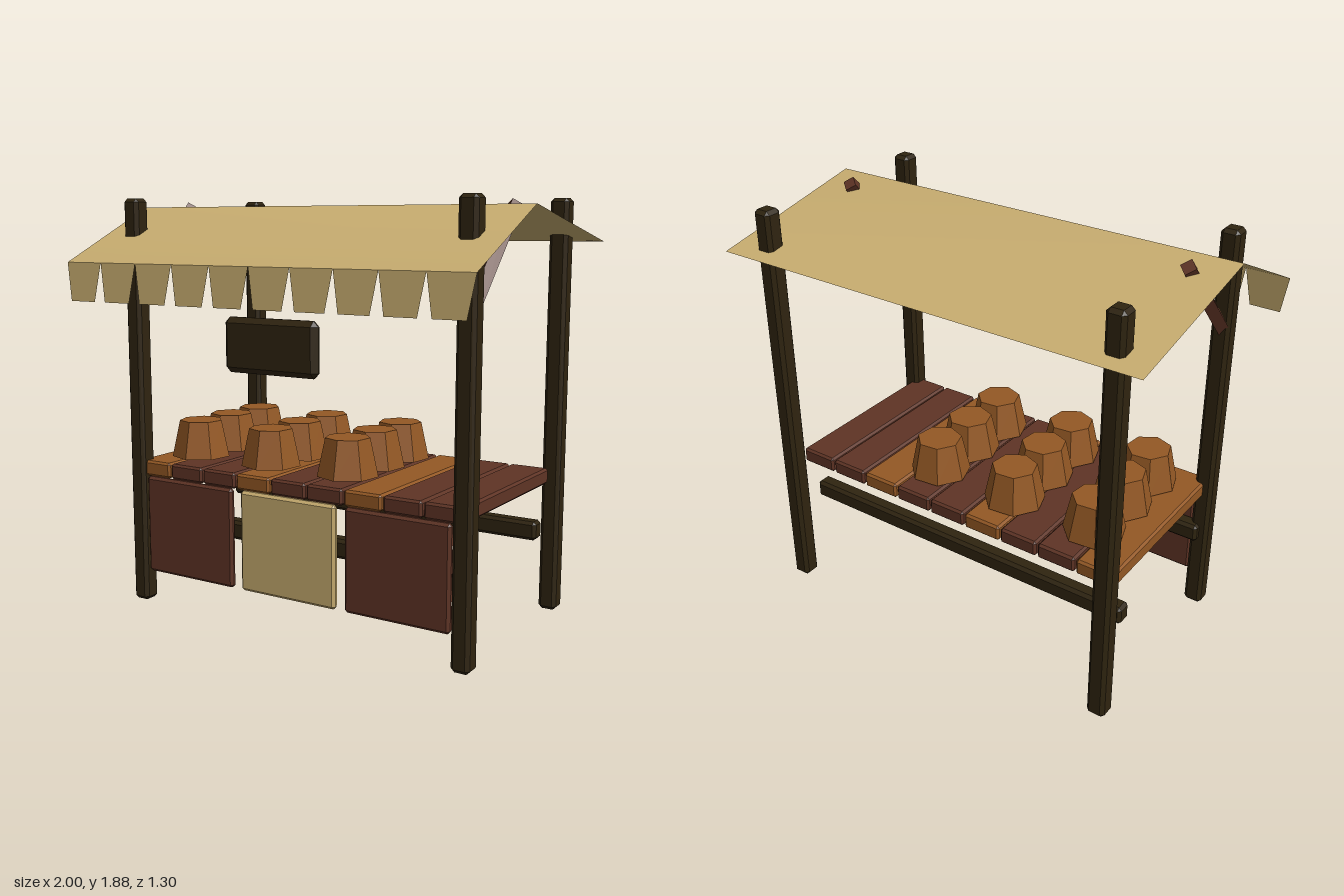
import * as THREE from 'three';
import { ConvexGeometry } from 'three/addons/geometries/ConvexGeometry.js';

const material = (name, color) => {
  const m = new THREE.MeshStandardMaterial({ color });
  m.name = name;
  return m;
};

// Box with flat chamfers on all edges
function chamferBox(w, h, d, c) {
  const pts = [];
  const [x, y, z] = [w / 2, h / 2, d / 2];
  for (const sx of [-1, 1]) for (const sy of [-1, 1]) for (const sz of [-1, 1]) {
    pts.push(
      new THREE.Vector3(sx * x, sy * (y - c), sz * (z - c)),
      new THREE.Vector3(sx * (x - c), sy * y, sz * (z - c)),
      new THREE.Vector3(sx * (x - c), sy * (y - c), sz * z));
  }
  return new ConvexGeometry(pts);
}

function meshGeometry(positions, indices) {
  const g = new THREE.BufferGeometry();
  g.setAttribute('position', new THREE.Float32BufferAttribute(positions, 3));
  g.setIndex(indices);
  g.computeVertexNormals();
  return g;
}

export function createModel() {
  const darkWood = material('dark wood', 0x2f2410);
  const redWood = material('red brown wood', 0x5f3425);
  const orangeWood = material('orange wood', 0x935824);
  const canvas = material('tan canvas', 0xc8ad70);
  canvas.side = THREE.DoubleSide;

  const stall = new THREE.Group();
  stall.name = 'marketStall';
  const add = (name, geometry, mat, x = 0, y = 0, z = 0) => {
    const m = new THREE.Mesh(geometry, mat);
    m.name = name;
    m.position.set(x, y, z);
    stall.add(m);
    return m;
  };

  // Corner posts and the slanted braces on the front pair
  const postGeo = chamferBox(0.085, 1.88, 0.085, 0.016);
  const braceRise = 0.42, braceRun = 0.395;
  const braceGeo = new THREE.BoxGeometry(0.05, 0.05, Math.hypot(braceRise, braceRun));
  braceGeo.rotateZ(Math.PI / 4);
  for (const s of [-1, 1]) {
    add('frontPost', postGeo, darkWood, s * 0.842, 0.94, 0.365);
    add('backPost', postGeo, darkWood, s * 0.842, 0.94, -0.54);
    const brace = add('canopyBrace', braceGeo, redWood, s * 0.842, 1.635, 0.1675);
    brace.rotation.x = Math.atan2(braceRise, braceRun);
  }

  // Beams under the counter
  const beamGeo = chamferBox(1.69, 0.085, 0.076, 0.014);
  add('frontBeam', beamGeo, darkWood, 0, 0.41, 0.328);
  add('backBeam', beamGeo, darkWood, 0, 0.41, -0.37);

  // Counter planks
  const plankGeo = chamferBox(0.18, 0.072, 0.86, 0.01);
  for (let i = 0; i < 9; i++) {
    add('counterPlank', plankGeo, i % 3 === 0 && i < 9 ? orangeWood : redWood,
      (i - 4) * 0.188, 0.641, -0.045);
  }

  // Front panels
  const panelGeo = chamferBox(0.496, 0.456, 0.034, 0.012);
  for (const i of [-1, 0, 1]) {
    add('frontPanel', panelGeo, i === 0 ? canvas : redWood, i * 0.543, 0.377, 0.38);
  }

  // Upturned tubs in a grid on the counter
  const tubGeo = new THREE.CylinderGeometry(0.1, 0.137, 0.17, 7).toNonIndexed();
  tubGeo.computeVertexNormals();
  for (const x of [-0.627, -0.222, 0.186]) for (const z of [0.19, -0.04, -0.27]) {
    add('tub', tubGeo, orangeWood, x, 0.775, z).rotation.y = 0.1;
  }

  // Hanging sign board
  add('signBoard', chamferBox(0.47, 0.235, 0.056, 0.024), darkWood, 0, 1.265, 0.487);

  // Canopy sheet, folded at the ridge
  const sheet = [], sheetIndex = [];
  [[1.6, 0.642], [1.845, 0.122], [1.69, -0.65]].forEach(([y, z], i) => {
    sheet.push(-1, y, z, 1, y, z);
    const a = i * 2;
    if (i < 2) sheetIndex.push(a, a + 1, a + 3, a, a + 3, a + 2);
  });
  add('canopy', meshGeometry(sheet, sheetIndex), canvas);

  // Row of tapered flaps along the front edge
  const flaps = [], flapIndex = [];
  for (let i = 0; i < 10; i++) {
    const x = -1 + i * 0.2, a = i * 4;
    flaps.push(x, 1.6, 0.642, x + 0.2, 1.6, 0.642,
      x + 0.17, 1.43, 0.655, x + 0.03, 1.43, 0.655);
    flapIndex.push(a, a + 3, a + 2, a, a + 2, a + 1);
  }
  add('canopyFlaps', meshGeometry(flaps, flapIndex), canvas);

  return stall;
}
